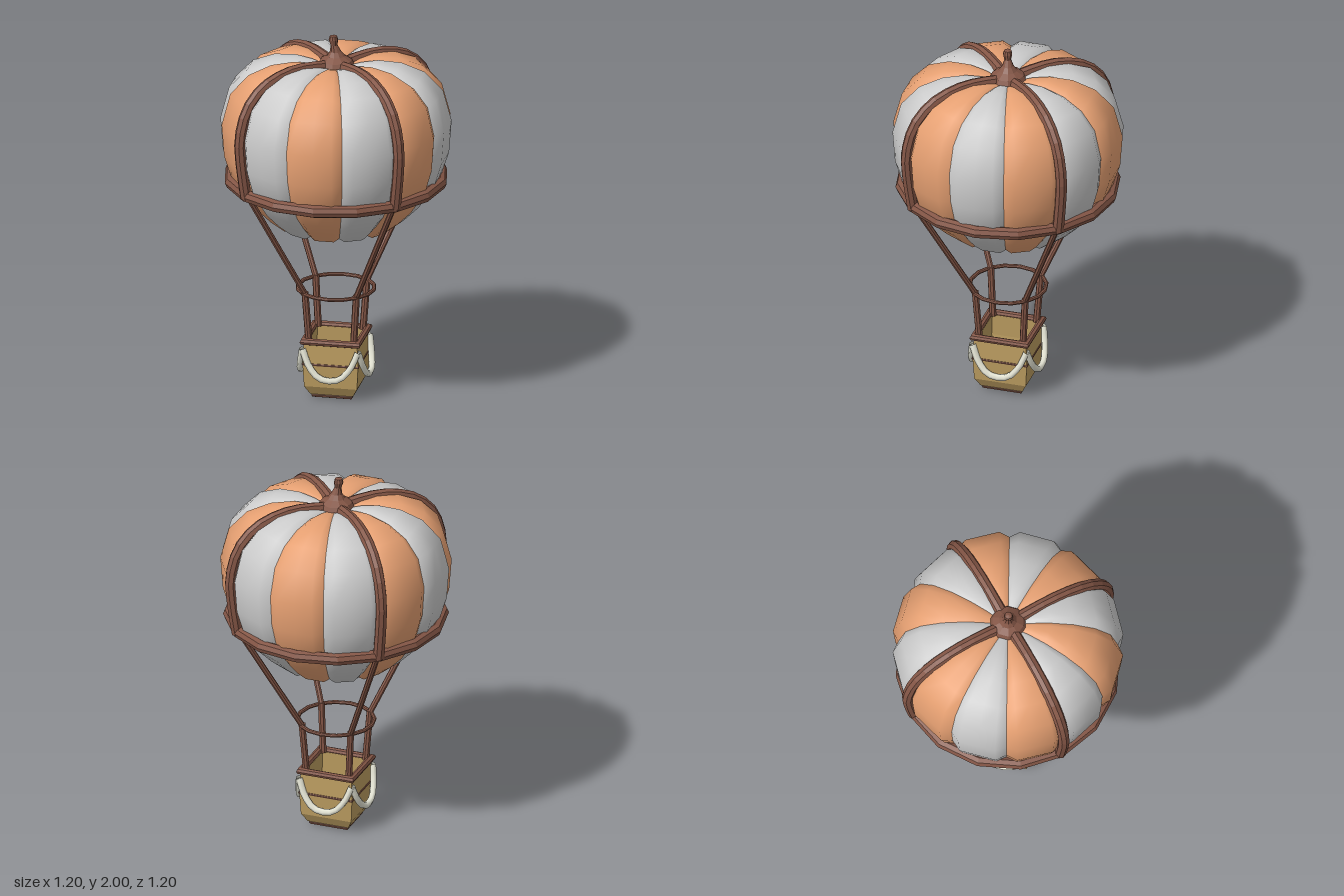
import * as THREE from 'three';

const mat = (color, flat = true) =>
  new THREE.MeshStandardMaterial({ color, flatShading: flat, side: THREE.DoubleSide });
const wood = mat(0x845646);
const wicker = mat(0xbb9c60);
const cream = mat(0xe6e6d6, false);
const orange = mat(0xe6a072, false);
const grey = mat(0xcccccc, false);

const V = (x, y, z) => new THREE.Vector3(x, y, z);
const V2 = ([x, y]) => new THREE.Vector2(x, y);

// Envelope profile: [radius, height], from the open mouth to the crown
const PROFILE = [
  [0.3, 0.95], [0.38, 1.015], [0.46, 1.095], [0.545, 1.22], [0.587, 1.355], [0.6, 1.53],
  [0.555, 1.7], [0.46, 1.8], [0.34, 1.85], [0.22, 1.862], [0.13, 1.85], [0.03, 1.82],
];

// One puffed gore: flat in the middle, sunk along both seams
function goreGeometry() {
  const pos = [], idx = [], cols = 5, seam = Math.tan(Math.PI / 12);
  PROFILE.forEach(([r, y], i) => {
    const a = PROFILE[Math.max(i - 1, 0)], b = PROFILE[Math.min(i + 1, PROFILE.length - 1)];
    const n = new THREE.Vector2(b[1] - a[1], a[0] - b[0]).normalize();
    const sz = r * (1 - 0.07 * n.x), sy = y - 0.07 * r * n.y, sx = sz * seam;
    pos.push(-sx, sy, sz, -0.167 * r, y, r, 0, y, r, 0.167 * r, y, r, sx, sy, sz);
    if (i === 0) return;
    for (let c = 0; c < cols - 1; c++) {
      const p = (i - 1) * cols + c, q = p + cols;
      idx.push(p, p + 1, q + 1, p, q + 1, q);
    }
  });
  const g = new THREE.BufferGeometry();
  g.setAttribute('position', new THREE.Float32BufferAttribute(pos, 3));
  g.setIndex(idx);
  g.computeVertexNormals();
  return g;
}

// Round bar through a list of points
function bar(points, radius, steps, sides = 8) {
  const curve = new THREE.CatmullRomCurve3(points);
  return new THREE.TubeGeometry(curve, steps, radius, sides);
}

// Straight capped rod between two points
function rod(a, b, radius) {
  const d = b.clone().sub(a);
  const g = new THREE.CylinderGeometry(radius, radius, d.length(), 8);
  g.applyQuaternion(new THREE.Quaternion().setFromUnitVectors(V(0, 1, 0), d.normalize()));
  const m = a.clone().add(b).multiplyScalar(0.5);
  return g.translate(m.x, m.y, m.z);
}

// Horizontal hoop
const hoop = (R, r, y, seg) =>
  new THREE.TorusGeometry(R, r, 8, seg).rotateX(Math.PI / 2).translate(0, y, 0);

// Square frame with mitred corners, its bar centred at the given half width
const frame = (half, r, y) =>
  new THREE.TorusGeometry(half * Math.SQRT2, r * Math.SQRT2, 8, 4)
    .rotateZ(Math.PI / 4).rotateX(Math.PI / 2).scale(1, Math.SQRT1_2, 1).translate(0, y, 0);

export function createModel() {
  const model = new THREE.Group();
  const add = (name, geometry, material, turn = 0) => {
    const mesh = new THREE.Mesh(geometry, material);
    mesh.name = name;
    mesh.rotation.y = turn;
    model.add(mesh);
    return mesh;
  };

  // Striped envelope
  const gore = goreGeometry();
  for (let i = 0; i < 12; i++) {
    add('envelopeGore', gore, i % 2 ? grey : orange, i * Math.PI / 6);
  }

  // Crown stem, leaning slightly toward its tip
  const stem = new THREE.LatheGeometry([
    [0, 1.82], [0.096, 1.838], [0.085, 1.862], [0.048, 1.885], [0.03, 1.91],
    [0.018, 1.945], [0.025, 1.975], [0.02, 1.995], [0, 2],
  ].map(V2), 10);
  const sp = stem.attributes.position;
  for (let i = 0; i < sp.count; i++) {
    const t = THREE.MathUtils.smoothstep(sp.getY(i), 1.88, 1.98);
    sp.setX(i, sp.getX(i) - 0.013 * t);
    sp.setZ(i, sp.getZ(i) + 0.006 * t);
  }
  add('crownStem', stem, wood);

  // Hoop around the envelope and the smaller hoop above the basket
  add('envelopeHoop', hoop(0.56, 0.034, 1.21, 16), wood);
  add('ropeHoop', hoop(0.203, 0.011, 0.59, 16), wood);

  // Straps, ropes and posts on the four diagonals
  const strap = bar([
    V(0, 1.838, 0.06), V(0, 1.853, 0.2), V(0, 1.842, 0.33), V(0, 1.79, 0.46),
    V(0, 1.69, 0.555), V(0, 1.53, 0.602), V(0, 1.36, 0.59), V(0, 1.2, 0.565),
  ], 0.031, 14);
  const rope = rod(V(0, 1.2, 0.55), V(0, 0.59, 0.194), 0.016);
  const post = rod(V(0, 0.6, 0.195), V(0, 0.32, 0.17), 0.019);
  for (let i = 0; i < 4; i++) {
    const turn = Math.PI / 4 + i * Math.PI / 2;
    add('strap', strap, wood, turn);
    add('rope', rope, wood, turn);
    add('basketPost', post, wood, turn);
  }

  // Open basket with wall thickness and floor
  const basket = new THREE.LatheGeometry([
    [0, 0.025], [0.115, 0.025], [0.142, 0.075], [0.149, 0.2], [0.143, 0.32],
    [0.125, 0.32], [0.13, 0.2], [0.12, 0.07], [0, 0.06],
  ].map(([r, y]) => V2([r * Math.SQRT2, y])), 4, Math.PI / 4);
  add('basket', basket, wicker);
  add('basketRim', frame(0.143, 0.019, 0.325), wood);
  add('basketBand', frame(0.145, 0.008, 0.2), wood);
  add('basketFoot', frame(0.094, 0.016, 0.018), wood);

  // Cloth swags, one hanging on each basket side
  const swag = bar([
    V(-0.148, 0.285, 0.15), V(-0.115, 0.205, 0.166), V(-0.06, 0.142, 0.18), V(0, 0.128, 0.183),
    V(0.06, 0.142, 0.18), V(0.115, 0.205, 0.166), V(0.148, 0.285, 0.15),
  ], 0.018, 12, 6);
  for (let i = 0; i < 4; i++) add('swag', swag, cream, i * Math.PI / 2);

  return model;
}
